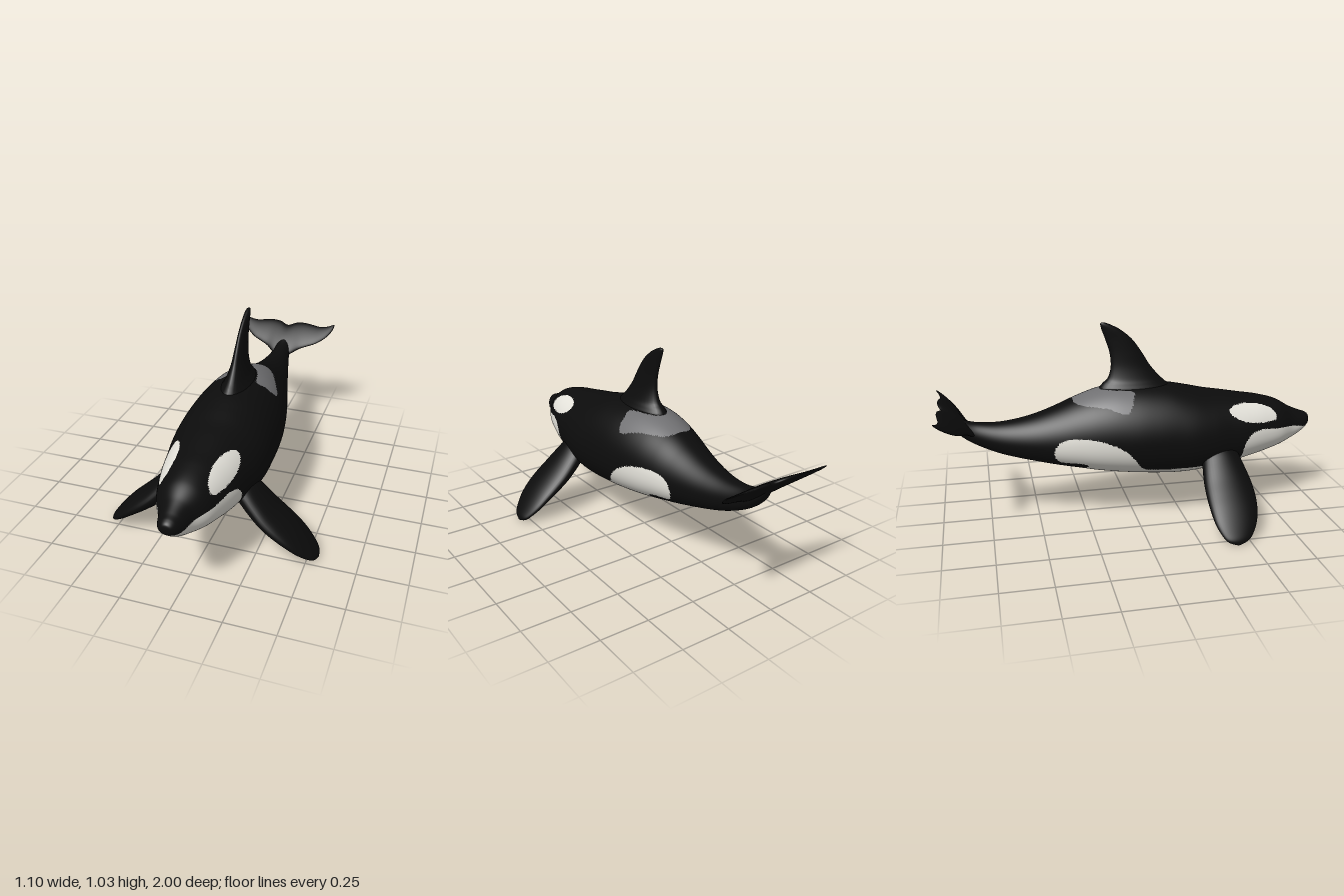
import * as THREE from 'three';

const paint = (name, hex) => {
  const m = new THREE.MeshStandardMaterial({ color: hex });
  m.name = name;
  return m;
};

// Catmull-Rom through rows of numbers, t counted in rows
function sampleRows(rows, t) {
  const i = Math.min(Math.floor(t), rows.length - 2), f = t - i;
  const row = (k) => rows[Math.max(0, Math.min(rows.length - 1, k))];
  const [a, b, c, d] = [row(i - 1), row(i), row(i + 1), row(i + 2)];
  return b.map((_, k) => b[k] + 0.5 * f * (c[k] - a[k]
    + f * (2 * a[k] - 5 * b[k] + 4 * c[k] - d[k] + f * (3 * (b[k] - c[k]) + d[k] - a[k]))));
}

// Closed loft: place(section, cos, sin) gives a point, pick(x, y, z) a material index
function loft(name, rows, steps, segs, place, materials, pick = () => 0) {
  const pos = [], tris = materials.map(() => []);
  const rings = (rows.length - 1) * steps;
  for (let r = 0; r <= rings; r++) {
    const section = sampleRows(rows, r / steps);
    for (let s = 0; s < segs; s++) {
      const a = (s / segs) * Math.PI * 2;
      pos.push(...place(section, Math.cos(a), Math.sin(a)));
    }
  }
  const v = (i) => new THREE.Vector3(pos[3 * i], pos[3 * i + 1], pos[3 * i + 2]);
  const faces = [];
  let volume = 0;
  const centre = v(Math.floor(rings / 2) * segs);
  const addFace = (i, j, k) => {
    const a = v(i), b = v(j), c = v(k);
    faces.push([i, j, k, pick((a.x + b.x + c.x) / 3, (a.y + b.y + c.y) / 3, (a.z + b.z + c.z) / 3)]);
    volume += a.sub(centre).dot(b.sub(centre).cross(c.sub(centre)));
  };
  for (let r = 0; r < rings; r++) {
    for (let s = 0; s < segs; s++) {
      const a = r * segs + s, b = r * segs + ((s + 1) % segs);
      addFace(a, b, a + segs);
      addFace(b, b + segs, a + segs);
    }
  }
  // Turn faces outward whatever the direction of the loft
  for (const [i, j, k, m] of faces) {
    if (volume > 0) tris[m].push(i, j, k);
    else tris[m].push(i, k, j);
  }
  const geo = new THREE.BufferGeometry();
  geo.setAttribute('position', new THREE.Float32BufferAttribute(pos, 3));
  geo.setIndex(tris.flat());
  let start = 0;
  tris.forEach((t, m) => { geo.addGroup(start, t.length, m); start += t.length; });
  geo.computeVertexNormals();
  const mesh = new THREE.Mesh(geo, materials.length > 1 ? materials : materials[0]);
  mesh.name = name;
  return mesh;
}

// Smooth outline and point-in-outline test for the markings
const smooth = (pts) => new THREE.SplineCurve(pts.map((p) => new THREE.Vector2(...p))).getPoints(pts.length * 4);
const smoothLoop = (pts) => smooth([...pts, pts[0]]);
function inside(poly, x, y) {
  let hit = false;
  for (let i = 0, j = poly.length - 1; i < poly.length; j = i++) {
    const p = poly[i], q = poly[j];
    if ((p.y > y) !== (q.y > y) && x < ((q.x - p.x) * (y - p.y)) / (q.y - p.y) + p.x) hit = !hit;
  }
  return hit;
}

export function createModel() {
  const black = paint('black skin', 0x0c0c0c);
  const white = paint('white skin', 0xe8e6de);
  const grey = paint('grey saddle', 0x707072);
  const model = new THREE.Group();
  model.name = 'whale';

  // Markings: eye patch and belly as (z, y), saddle as (|x|, z)
  const eyePatch = smoothLoop([[0.77, 0.515], [0.74, 0.552], [0.65, 0.583], [0.55, 0.59], [0.495, 0.578],
    [0.5, 0.55], [0.55, 0.52], [0.62, 0.5], [0.7, 0.493], [0.76, 0.497]]);
  const belly = [
    ...smooth([[1.02, 0.41], [0.98, 0.415], [0.92, 0.428], [0.84, 0.443], [0.75, 0.452], [0.67, 0.46],
      [0.61, 0.445], [0.57, 0.395], [0.563, 0.32], [0.53, 0.29], [0.32, 0.29], [0.12, 0.288], [0.03, 0.3],
      [-0.02, 0.36], [-0.08, 0.42], [-0.18, 0.465], [-0.29, 0.48], [-0.38, 0.465], [-0.42, 0.42],
      [-0.415, 0.37], [-0.38, 0.342], [-0.29, 0.336], [-0.25, 0.32], [-0.265, 0.304], [-0.32, 0.285]]),
    new THREE.Vector2(-0.34, 0), new THREE.Vector2(1.02, 0),
  ];
  const saddle = smoothLoop([[-0.03, -0.165], [0.02, -0.16], [0.05, -0.13], [0.07, -0.08], [0.083, -0.02],
    [0.1, 0], [0.13, -0.012], [0.165, -0.025], [0.187, -0.06], [0.15, -0.15], [0.105, -0.25], [0.06, -0.3],
    [0, -0.31], [-0.05, -0.3]]);
  const skin = (x, y, z) => {
    if (y > 0.5 && inside(saddle, Math.abs(x), z)) return 2;
    return inside(eyePatch, z, y) || inside(belly, z, y) ? 1 : 0;
  };

  // Body sections: z, top, bottom, half width
  const bodyRows = [
    [1, 0.45, 0.45, 0], [0.995, 0.472, 0.425, 0.026], [0.975, 0.486, 0.402, 0.047], [0.94, 0.498, 0.375, 0.064],
    [0.88, 0.525, 0.343, 0.086], [0.8, 0.571, 0.315, 0.132], [0.7, 0.6, 0.289, 0.167], [0.6, 0.617, 0.268, 0.195],
    [0.5, 0.635, 0.25, 0.215], [0.4, 0.652, 0.234, 0.237], [0.3, 0.675, 0.222, 0.249], [0.2, 0.695, 0.219, 0.25],
    [0.1, 0.703, 0.225, 0.248], [0, 0.705, 0.234, 0.241], [-0.1, 0.701, 0.245, 0.226], [-0.2, 0.68, 0.26, 0.206],
    [-0.3, 0.645, 0.28, 0.181], [-0.4, 0.604, 0.3, 0.154], [-0.5, 0.57, 0.324, 0.128], [-0.6, 0.548, 0.35, 0.102],
    [-0.7, 0.539, 0.382, 0.077], [-0.8, 0.546, 0.428, 0.053], [-0.87, 0.566, 0.475, 0.045],
    [-0.92, 0.59, 0.53, 0.03], [-0.95, 0.6, 0.6, 0],
  ];
  const power = (c, p) => Math.sign(c) * Math.abs(c) ** p;
  model.add(loft('body', bodyRows, 11, 176, ([z, top, bottom, w], c, s) => {
    const mid = bottom + 0.44 * (top - bottom);
    const p = 2 / (s > 0 ? 1.95 : 2.25);
    return [w * power(c, p), mid + (s > 0 ? top - mid : mid - bottom) * power(s, p), z];
  }, [black, white, grey], skin));

  // Dorsal fin sections: y, front z, back z, half width
  const dorsalRows = [
    [0.62, 0.2, -0.17, 0.08], [0.68, 0.205, -0.17, 0.078], [0.71, 0.18, -0.152, 0.064], [0.74, 0.148, -0.122, 0.05],
    [0.8, 0.098, -0.106, 0.034], [0.87, 0.055, -0.111, 0.025], [0.94, 0.004, -0.132, 0.019],
    [0.99, -0.055, -0.15, 0.016], [1.015, -0.1, -0.157, 0.013], [1.027, -0.128, -0.156, 0.008],
    [1.03, -0.145, -0.145, 0],
  ];
  model.add(loft('dorsalFin', dorsalRows, 5, 32, ([y, f, b, w], c, s) =>
    [w * s, y, (f + b) / 2 + ((f - b) / 2) * c], [black]));

  // Pectoral fin sections: x, y, z, half chord, half thickness
  const pectoralRows = [
    [0.13, 0.38, 0.44, 0.085, 0.045], [0.185, 0.335, 0.44, 0.098, 0.055], [0.235, 0.285, 0.443, 0.112, 0.056],
    [0.295, 0.228, 0.447, 0.124, 0.053], [0.355, 0.18, 0.448, 0.127, 0.048], [0.415, 0.133, 0.446, 0.122, 0.041],
    [0.47, 0.085, 0.441, 0.107, 0.032], [0.515, 0.043, 0.435, 0.079, 0.022], [0.54, 0.018, 0.43, 0.048, 0.014],
    [0.552, 0.004, 0.428, 0, 0],
  ];
  for (const side of [1, -1]) {
    model.add(loft(side > 0 ? 'leftPectoralFin' : 'rightPectoralFin', pectoralRows, 5, 40,
      ([x, y, z, chord, thick], c, s) =>
        [side * (x + 0.66 * thick * s), y + 0.75 * thick * s, z + chord * c], [black]));
  }

  // Tail flukes: x, leading z, trailing z, half thickness; the blade climbs towards the back
  const halfFluke = [
    [0, -0.8, -0.965, 0.03], [0.05, -0.812, -0.983, 0.027], [0.1, -0.845, -0.988, 0.022],
    [0.15, -0.866, -0.983, 0.018], [0.2, -0.887, -0.977, 0.014], [0.25, -0.923, -0.984, 0.01],
    [0.28, -0.963, -0.997, 0.006], [0.289, -0.998, -0.998, 0],
  ];
  const flukeRows = [...halfFluke.slice(1).reverse().map(([x, ...rest]) => [-x, ...rest]), ...halfFluke];
  model.add(loft('tailFlukes', flukeRows, 5, 32, ([x, lead, trail, thick], c, s) => {
    const z = (lead + trail) / 2 + ((lead - trail) / 2) * c;
    return [x, 0.5 + 0.8 * (-0.82 - z) + thick * s, z];
  }, [black]));

  return model;
}
